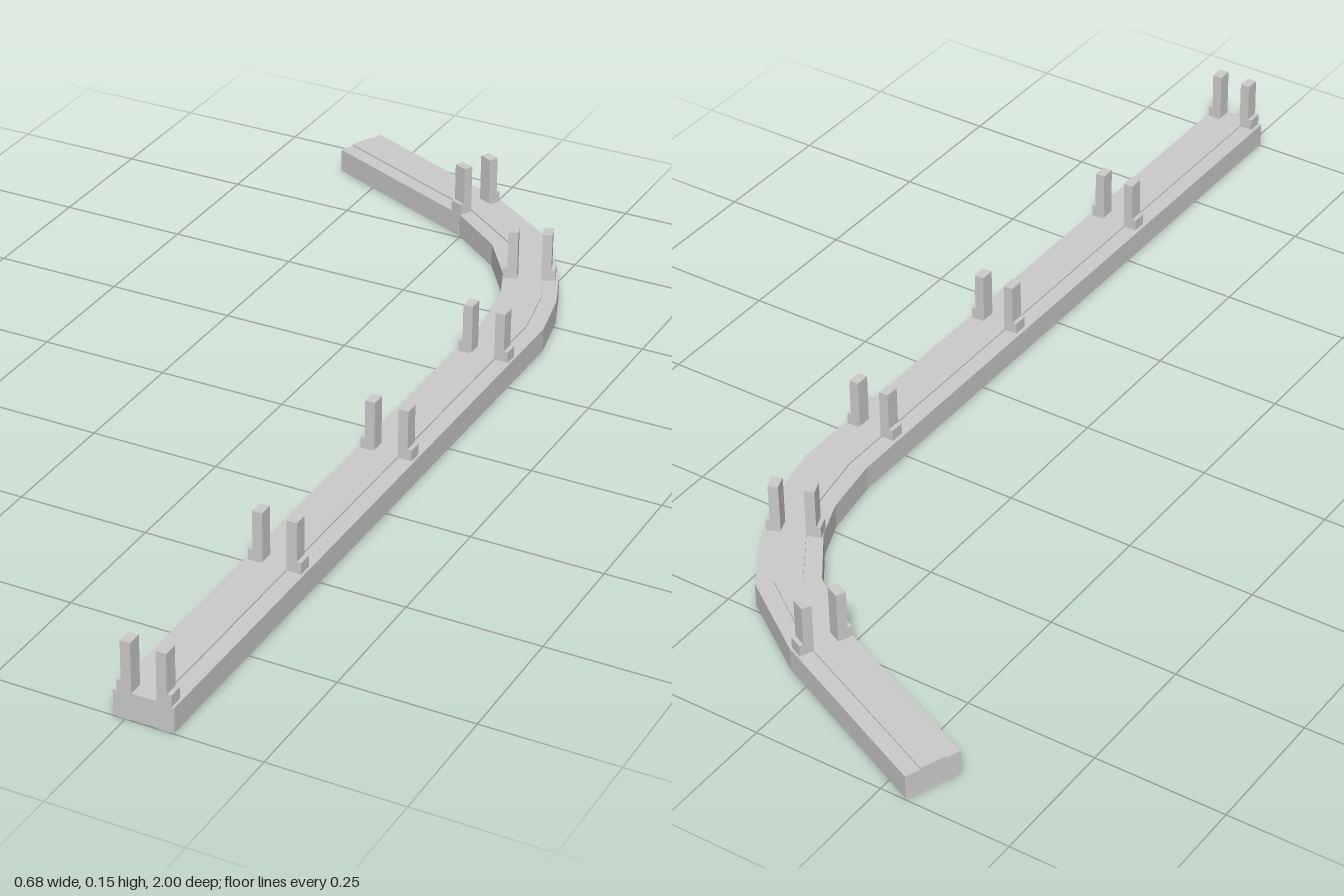
import * as THREE from 'three';

const material = new THREE.MeshStandardMaterial({ color: 0xcccccc, flatShading: true, side: THREE.DoubleSide });

// Beam edges along its run: inner x, z, outer x, z
const stations = [
  [0.228, 1, 0.34, 1],
  [0.228, -0.37, 0.34, -0.4],
  [0.21, -0.49, 0.317, -0.51],
  [0.18, -0.565, 0.278, -0.61],
  [0.11, -0.665, 0.197, -0.74],
  [0, -0.75, 0.045, -0.845],
  [-0.34, -0.9, -0.3, -1],
];

// Cross-section: fraction across the beam, height; raised strip on top, two runners below
const section = [
  [0, 0.003], [0.07, 0.003], [0.07, 0], [0.28, 0], [0.28, 0.003],
  [0.72, 0.003], [0.72, 0], [0.93, 0], [0.93, 0.003], [1, 0.003],
  [1, 0.05], [0.72, 0.05], [0.72, 0.053], [0.28, 0.053], [0.28, 0.05], [0, 0.05],
];

function beamGeometry() {
  const positions = [], index = [], n = section.length;
  for (const [ix, iz, ox, oz] of stations) {
    for (const [u, y] of section) positions.push(ix + (ox - ix) * u, y, iz + (oz - iz) * u);
  }
  for (let s = 0; s < stations.length - 1; s++) {
    for (let i = 0; i < n; i++) {
      const j = (i + 1) % n;
      const a = s * n + i, b = s * n + j, c = b + n, d = a + n;
      index.push(a, d, c, a, c, b);
    }
  }
  // End caps
  const outline = section.map(([u, y]) => new THREE.Vector2(u, y));
  const last = (stations.length - 1) * n;
  for (const [a, b, c] of THREE.ShapeUtils.triangulateShape(outline, [])) {
    index.push(a, b, c, last + a, last + c, last + b);
  }
  const geometry = new THREE.BufferGeometry();
  geometry.setAttribute('position', new THREE.Float32BufferAttribute(positions, 3));
  geometry.setIndex(index);
  const flat = geometry.toNonIndexed();
  flat.computeVertexNormals();
  return flat;
}

function box(name, w, h, d, x, y) {
  const mesh = new THREE.Mesh(new THREE.BoxGeometry(w, h, d), material);
  mesh.name = name;
  mesh.position.set(x, y, 0);
  return mesh;
}

// Two mirrored posts, each with a wider foot
function postPair(x, z, degrees) {
  const pair = new THREE.Group();
  pair.name = 'postPair';
  for (const side of [-1, 1]) {
    pair.add(box('postFoot', 0.027, 0.024, 0.028, side * 0.0365, 0.06));
    pair.add(box('post', 0.019, 0.076, 0.028, side * 0.0325, 0.11));
  }
  pair.position.set(x, 0, z);
  pair.rotation.y = THREE.MathUtils.degToRad(degrees);
  return pair;
}

export function createModel() {
  const model = new THREE.Group();
  model.name = 'curvedBeamWithPosts';

  const beam = new THREE.Mesh(beamGeometry(), material);
  beam.name = 'beam';
  model.add(beam);

  // Posts on the straight run
  for (const z of [0.986, 0.548, 0.132, -0.266]) model.add(postPair(0.285, z, 0));
  // Posts around the bend
  model.add(postPair(0.229, -0.58, 20));
  model.add(postPair(0.01, -0.801, 65));
  return model;
}
